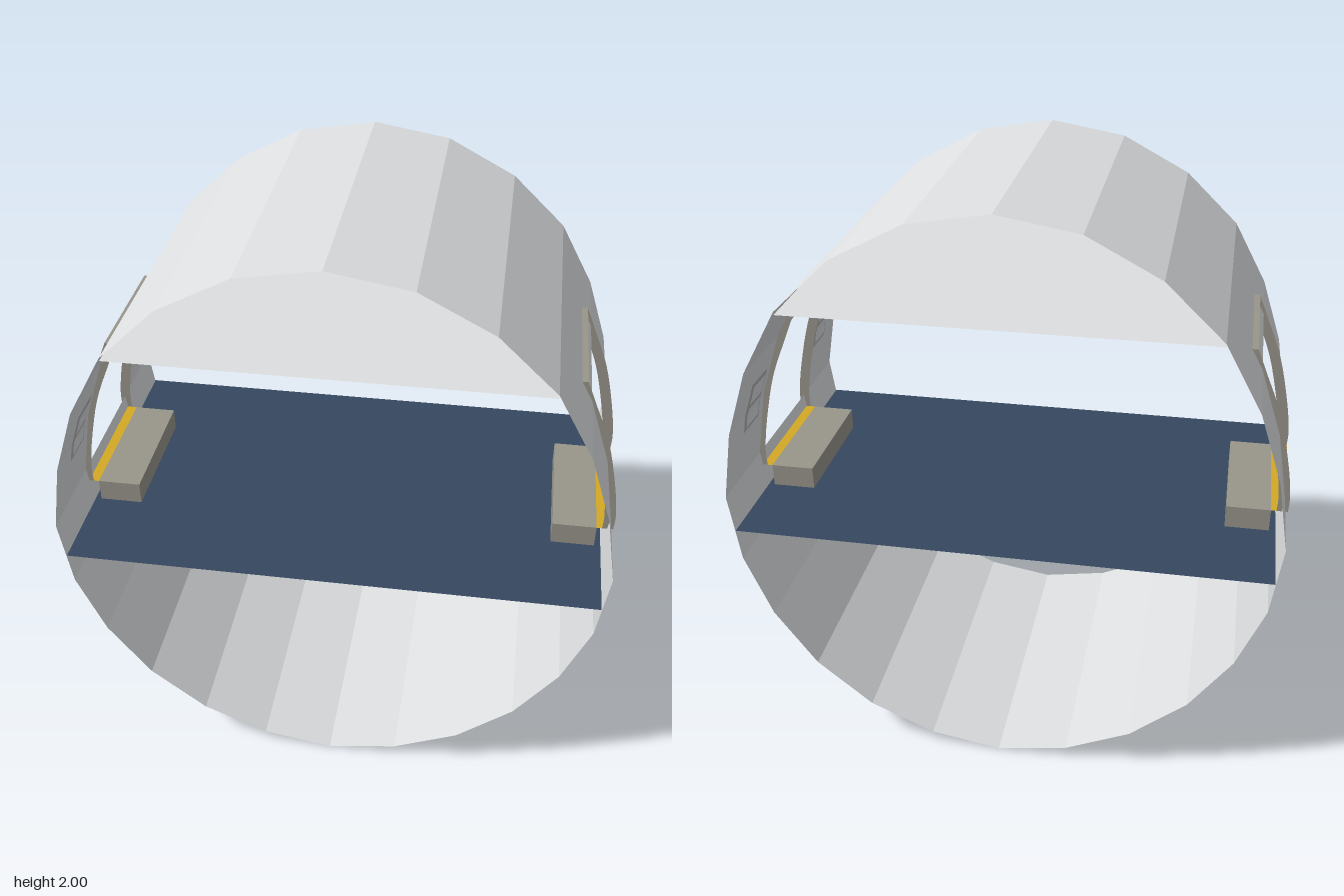
import * as THREE from 'three';

// One flat-shaded ribbon between two rows of points
function ribbon(a, b) {
  const v = [];
  for (let i = 0; i + 1 < a.length; i++) {
    v.push(...a[i], ...b[i], ...b[i + 1], ...a[i], ...b[i + 1], ...a[i + 1]);
  }
  const g = new THREE.BufferGeometry();
  g.setAttribute('position', new THREE.Float32BufferAttribute(v, 3));
  g.computeVertexNormals();
  return g;
}

export function createModel() {
  const root = new THREE.Group();
  const mat = (name, color) => {
    const m = new THREE.MeshStandardMaterial({ color, side: THREE.DoubleSide });
    m.name = name;
    return m;
  };
  const skin = mat('pale grey skin', 0xdcdee0);
  const trim = mat('warm grey trim', 0x98958b);
  const gold = mat('gold', 0xd4a925);
  const carpet = mat('dark blue floor', 0x34475f);
  const rim = mat('light grey rim', 0xb4b5b5);

  const add = (name, geometry, material, parent = root) => {
    const m = new THREE.Mesh(geometry, material);
    m.name = name;
    parent.add(m);
    return m;
  };
  const box = (w, h, d, x, y, z) => new THREE.BoxGeometry(w, h, d).translate(x, y, z);
  const plate = (x0, x1, y, z) => ribbon(
    [[x0, y, -z], [x1, y, -z]], [[x0, y, z], [x1, y, z]]);

  // Half of the hull section, top to bottom
  const L = 0.555, HZ = 0.24;
  const half = [
    [0, 2], [0.265, 1.955], [0.502, 1.83], [0.69, 1.65], [0.811, 1.43], [0.887, 1.2],
    [0.927, 0.96], [0.893, 0.72], [0.802, 0.5], [0.658, 0.3], [0.466, 0.14], [0.243, 0.04], [0, 0],
  ];
  const wallX = y => {
    const i = half.findIndex((p, k) => k > 0 && p[1] <= y);
    const [a, b] = [half[i - 1], half[i]];
    return a[0] + (b[0] - a[0]) * (a[1] - y) / (a[1] - b[1]);
  };

  // Patch that follows the inner wall, slightly in front of it
  const wallPatch = (s, y0, y1, z0, z1, off) => {
    const ys = [y0, y1];
    if (y0 < 1.2 && y1 > 1.2) ys.splice(1, 0, 1.2);
    const row = z => ys.map(y => [s * (wallX(y) - off), y, z]);
    return ribbon(row(z0), row(z1));
  };

  // Door frame centre line
  const curve = new THREE.SplineCurve([
    [0.773, 1.5], [0.806, 1.42], [0.865, 1.27], [0.905, 1.1], [0.923, 0.98], [0.922, 0.912],
  ].map(p => new THREE.Vector2(...p)));
  const framePts = curve.getPoints(20);

  for (const s of [1, -1]) {
    const side = new THREE.Group();
    side.name = s > 0 ? 'leftSide' : 'rightSide';
    root.add(side);

    // Hull skin, with the doorway left open in two rows of panels
    const row = (pts, z) => pts.map(([x, y]) => [s * x, y, z]);
    const panel = (name, pts, z0, z1) => add(name, ribbon(row(pts, z0), row(pts, z1)), skin, side);
    panel('upperSkin', half.slice(0, 5), -L, L);
    panel('skinBehindDoor', half.slice(4, 7), -L, -HZ);
    panel('skinAheadOfDoor', half.slice(4, 7), HZ, L);
    panel('lowerSkin', half.slice(6), -L, L);

    // Door frame: curved jambs, lintel and gold sill
    for (const z of [-0.237, 0.237]) {
      const edge = d => framePts.map(p => [s * (p.x + d), p.y, z]);
      add('doorJamb', ribbon(edge(-0.019), edge(0.019)), trim, side);
    }
    add('doorLintel', plate(s * 0.756, s * 0.793, 1.5, 0.237), trim, side);
    add('doorSill', plate(s * 0.885, s * 0.942, 0.912, 0.237), gold, side);

    // Step inside the door and the small plate above it
    add('doorStep', box(0.15, 0.08, 0.474, s * 0.81, 0.872, 0), trim, side);
    add('overDoorPlate', box(0.008, 0.046, 0.18, s * 0.725, 1.538, 0), gold, side);

    // Wall panels fore and aft of the door, each with two cells
    for (const e of [1, -1]) {
      add('wallPanelRim', wallPatch(s, 1.14, 1.325, e * 0.29, e * 0.425, 0.004), rim, side);
      add('wallPanelLowerCell', wallPatch(s, 1.155, 1.225, e * 0.305, e * 0.41, 0.007), skin, side);
      add('wallPanelUpperCell', wallPatch(s, 1.24, 1.31, e * 0.305, e * 0.41, 0.007), skin, side);
    }
  }

  // Floor and ceiling sheets
  add('floor', plate(-0.907, 0.907, 0.83, L), carpet);
  add('ceiling', plate(-0.69, 0.69, 1.64, L), skin);

  return root;
}
